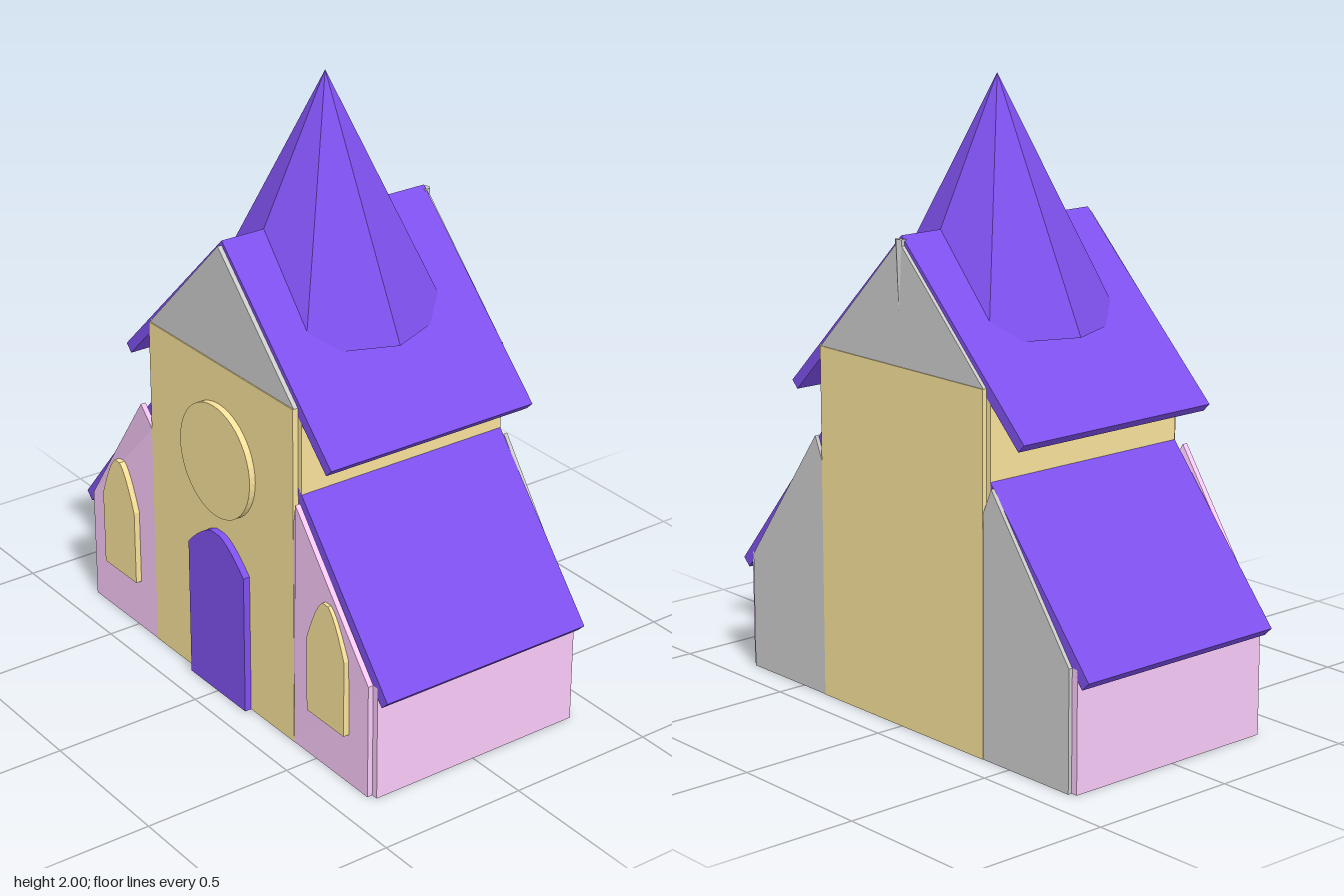
import * as THREE from 'three';

const mat = (color) => new THREE.MeshStandardMaterial({ color, flatShading: true, side: THREE.DoubleSide });

export function createModel() {
  const model = new THREE.Group();
  const cream = mat(0xf8e19a), pink = mat(0xf8c9f8), purple = mat(0x7e50ed), grey = mat(0xcccccc);

  const add = (name, geometry, material) => {
    const mesh = new THREE.Mesh(geometry, material);
    mesh.name = name;
    model.add(mesh);
    return mesh;
  };
  // Flat outline in x/y, extruded from z0 to z1
  const slab = (outline, z0, z1) => {
    const shape = Array.isArray(outline)
      ? new THREE.Shape(outline.map(([x, y]) => new THREE.Vector2(x, y)))
      : outline;
    const g = new THREE.ExtrudeGeometry(shape, { depth: z1 - z0, bevelEnabled: false, curveSegments: 6 });
    return g.translate(0, 0, z0);
  };
  const wall = (x0, x1, y1, z0, z1) =>
    new THREE.BoxGeometry(x1 - x0, y1, z1 - z0).translate((x0 + x1) / 2, y1 / 2, (z0 + z1) / 2);
  // Opening with a slightly pointed arch
  const arch = (cx, half, base, shoulder, top) => {
    const s = new THREE.Shape();
    const bend = shoulder + (top - shoulder) * 0.85;
    s.moveTo(cx - half, base);
    s.lineTo(cx + half, base);
    s.lineTo(cx + half, shoulder);
    s.quadraticCurveTo(cx + half * 0.5, bend, cx + half * 0.15, top);
    s.lineTo(cx - half * 0.15, top);
    s.quadraticCurveTo(cx - half * 0.5, bend, cx - half, shoulder);
    return s;
  };

  const back = -0.39, front = 0.37;

  // Nave: end walls and gables
  add('naveFrontWall', wall(-0.385, 0.385, 1.145, front, 0.389), cream);
  add('naveBackWall', wall(-0.385, 0.385, 1.145, -0.405, back), cream);
  const gable = [[-0.385, 1.145], [0.385, 1.145], [0, 1.53]];
  add('frontGable', slab(gable, front, 0.385), grey);
  add('backGable', slab(gable, -0.402, back), grey);
  // Thin tapering rib on the back gable
  add('backGableRib', new THREE.CylinderGeometry(0.018, 0.003, 0.38, 6).translate(0, 1.345, -0.393), grey);

  // Main roof
  add('mainRoof', slab([
    [0, 1.545], [-0.55, 1.005], [-0.525, 0.98], [0, 1.497], [0.525, 0.98], [0.55, 1.005],
  ], back, front), purple);

  // Side walls, aisles, aisle roofs and windows, mirrored
  for (const [label, s] of [['left', 1], ['right', -1]]) {
    const flip = (pts) => pts.map(([x, y]) => [s * x, y]);
    const sideWall = (x0, x1, y1) => wall(Math.min(s * x0, s * x1), Math.max(s * x0, s * x1), y1, back, front);

    add(label + 'NaveSideWall', sideWall(0.38, 0.402, 1.145), cream);
    add(label + 'AisleSideWall', sideWall(0.76, 0.782, 0.385), pink);

    const panel = flip([[0.385, 0], [0.76, 0], [0.76, 0.385], [0.42, 0.85], [0.385, 0.77]]);
    const facade = slab(panel, front, 0.388);
    // The peak of the facade leans forward
    const p = facade.attributes.position;
    for (let i = 0; i < p.count; i++) if (p.getY(i) > 0.8) p.setZ(i, p.getZ(i) + 0.018);
    facade.computeVertexNormals();
    add(label + 'AisleFrontWall', facade, pink);
    add(label + 'AisleBackWall', slab(panel, -0.403, back), grey);

    add(label + 'AisleRoof', slab(flip([
      [0.385, 0.885], [0.83, 0.355], [0.802, 0.328], [0.385, 0.83],
    ]), back, front), purple);
    add(label + 'Window', slab(arch(s * 0.572, 0.094, 0.172, 0.43, 0.583), 0.38, 0.408), cream);
  }

  // Door and round window
  add('door', slab(arch(0, 0.152, 0, 0.478, 0.572), 0.38, 0.412), purple);
  add('roundWindow', new THREE.CylinderGeometry(0.189, 0.189, 0.03, 48).rotateX(Math.PI / 2).translate(0, 0.822, 0.395), cream);

  // Eight-sided spire
  add('spire', new THREE.ConeGeometry(0.38, 0.76, 8).translate(0, 1.62, -0.01), purple);

  return model;
}
